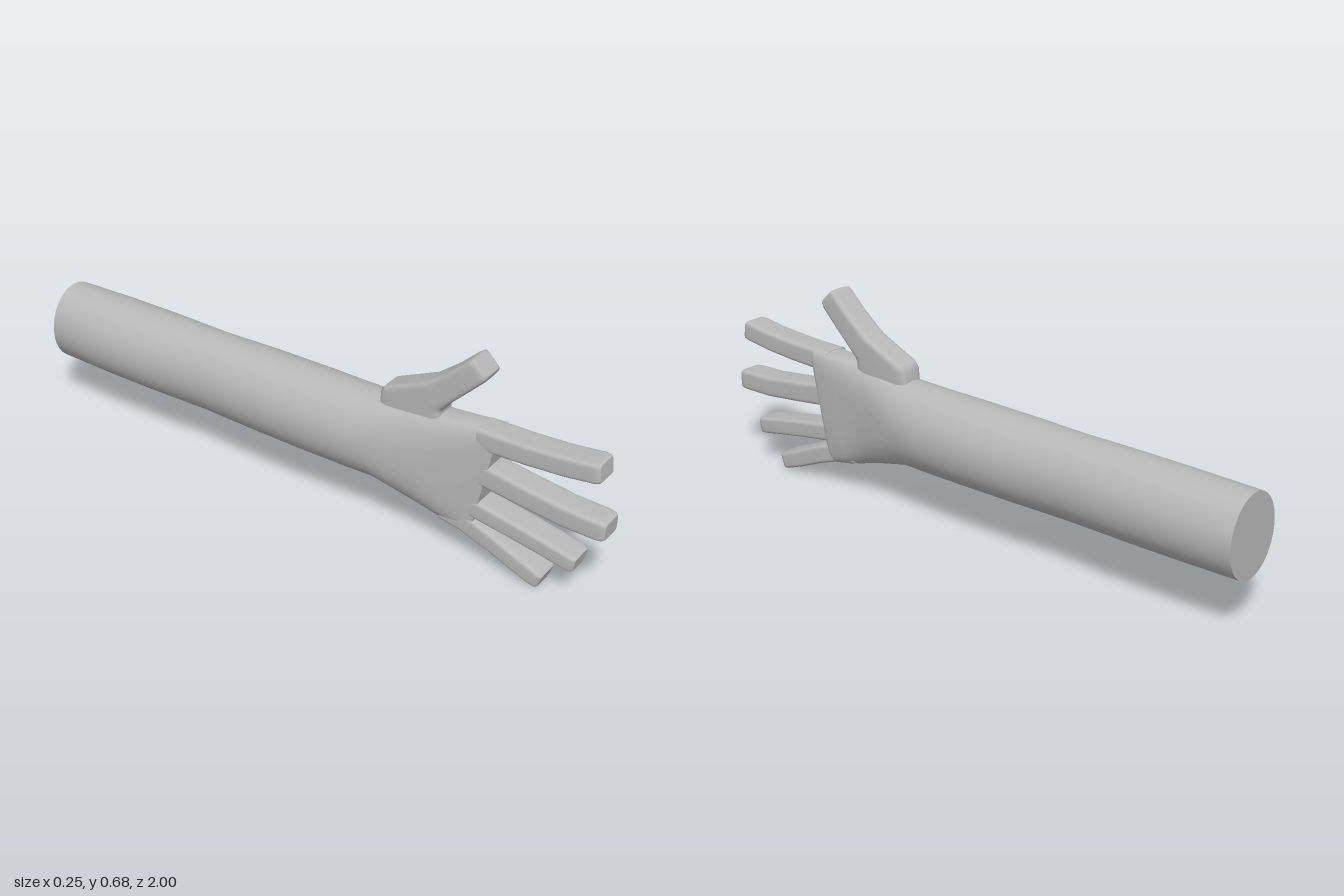
import * as THREE from 'three';

const SEG = 32;

// Skins rounded sections. Each section: lower point [z, y], upper point [z, y],
// half width in x, roundness power (2 = ellipse, higher = boxier), x offset.
function loft(sections) {
  const pos = [], index = [];
  const ring = ([lo, up, hx, n, cx = 0]) => {
    const start = pos.length / 3;
    for (let j = 0; j < SEG; j++) {
      const t = (j / SEG) * Math.PI * 2;
      const round = (v) => Math.sign(v) * Math.pow(Math.abs(v), 2 / n);
      const k = (round(Math.sin(t)) + 1) / 2;
      pos.push(cx + hx * round(Math.cos(t)), lo[1] + (up[1] - lo[1]) * k, lo[0] + (up[0] - lo[0]) * k);
    }
    return start;
  };
  const rings = sections.map(ring);
  for (let i = 0; i + 1 < rings.length; i++) {
    for (let j = 0; j < SEG; j++) {
      const k = (j + 1) % SEG, a = rings[i], b = rings[i + 1];
      index.push(a + j, a + k, b + k, a + j, b + k, b + j);
    }
  }
  // Flat end caps with their own vertices, so the rims stay crisp
  [[sections[0], true], [sections[sections.length - 1], false]].forEach(([s, back]) => {
    const r = ring(s), c = pos.length / 3;
    pos.push(s[4] || 0, (s[0][1] + s[1][1]) / 2, (s[0][0] + s[1][0]) / 2);
    for (let j = 0; j < SEG; j++) {
      const k = (j + 1) % SEG;
      index.push(c, r + (back ? k : j), r + (back ? j : k));
    }
  });
  const g = new THREE.BufferGeometry();
  g.setAttribute('position', new THREE.Float32BufferAttribute(pos, 3));
  g.setIndex(index);
  g.computeVertexNormals();
  return g;
}

// Finger along a curved centre line of [z, y] points with a softened tip
function finger(points, thick0, thick1) {
  const curve = new THREE.CatmullRomCurve3(points.map(([z, y]) => new THREE.Vector3(0, y, z)));
  const sections = [0, 0.25, 0.5, 0.75, 0.95, 0.985, 1].map((t) => {
    const p = curve.getPoint(t), d = curve.getTangent(t);
    const shrink = t === 1 ? 0.8 : t > 0.96 ? 0.94 : 1;
    const h = (thick0 + (thick1 - thick0) * t) / 2 * shrink;
    return [[p.z + d.y * h, p.y - d.z * h], [p.z - d.y * h, p.y + d.z * h], 0.046 * shrink, 6];
  });
  return loft(sections);
}

export function createModel() {
  const group = new THREE.Group();
  const skin = new THREE.MeshStandardMaterial({ color: 0xb8b8b8 });
  const add = (name, geometry) => {
    const mesh = new THREE.Mesh(geometry, skin);
    mesh.name = name;
    group.add(mesh);
  };

  // Forearm with two gentle swellings, flattening into the palm
  add('armAndPalm', loft([
    [[-1, 0.18], [-1, 0.443], 0.112, 2],
    [[-0.8, 0.179], [-0.8, 0.445], 0.122, 2],
    [[-0.62, 0.178], [-0.62, 0.446], 0.122, 2],
    [[-0.4, 0.177], [-0.4, 0.447], 0.111, 2],
    [[-0.2, 0.175], [-0.2, 0.449], 0.122, 2],
    [[0, 0.173], [0, 0.45], 0.124, 2],
    [[0.15, 0.171], [0.15, 0.451], 0.118, 2],
    [[0.24, 0.172], [0.24, 0.453], 0.11, 2.1],
    [[0.38, 0.138], [0.4, 0.468], 0.077, 2.7, -0.003],
    [[0.49, 0.108], [0.54, 0.474], 0.059, 4, 0.003],
    [[0.55, 0.1], [0.63, 0.477], 0.053, 6, 0.007],
    [[0.57, 0.105], [0.648, 0.474], 0.047, 6, 0.004],
  ]));

  // Four spread fingers
  add('indexFinger', finger([[0.58, 0.441], [0.66, 0.442], [0.82, 0.448], [0.97, 0.466]], 0.07, 0.066));
  add('middleFinger', finger([[0.56, 0.325], [0.64, 0.319], [0.82, 0.291], [1, 0.283]], 0.078, 0.068));
  add('ringFinger', finger([[0.52, 0.208], [0.62, 0.191], [0.77, 0.165], [0.915, 0.135]], 0.064, 0.056));
  add('littleFinger', finger([[0.47, 0.15], [0.57, 0.13], [0.7, 0.075], [0.81, 0.032]], 0.066, 0.058));

  // Thumb rising from the wrist with a broad webbed base
  add('thumb', loft([
    [[0.46, 0.4], [0.24, 0.42], 0.045, 6],
    [[0.45, 0.475], [0.245, 0.485], 0.046, 6],
    [[0.458, 0.49], [0.26, 0.504], 0.046, 6],
    [[0.482, 0.518], [0.4, 0.566], 0.046, 6],
    [[0.535, 0.57], [0.475, 0.624], 0.046, 6],
    [[0.588, 0.623], [0.533, 0.678], 0.046, 6],
    [[0.598, 0.638], [0.547, 0.689], 0.043, 6],
    [[0.598, 0.646], [0.555, 0.689], 0.036, 6],
  ]));

  return group;
}
